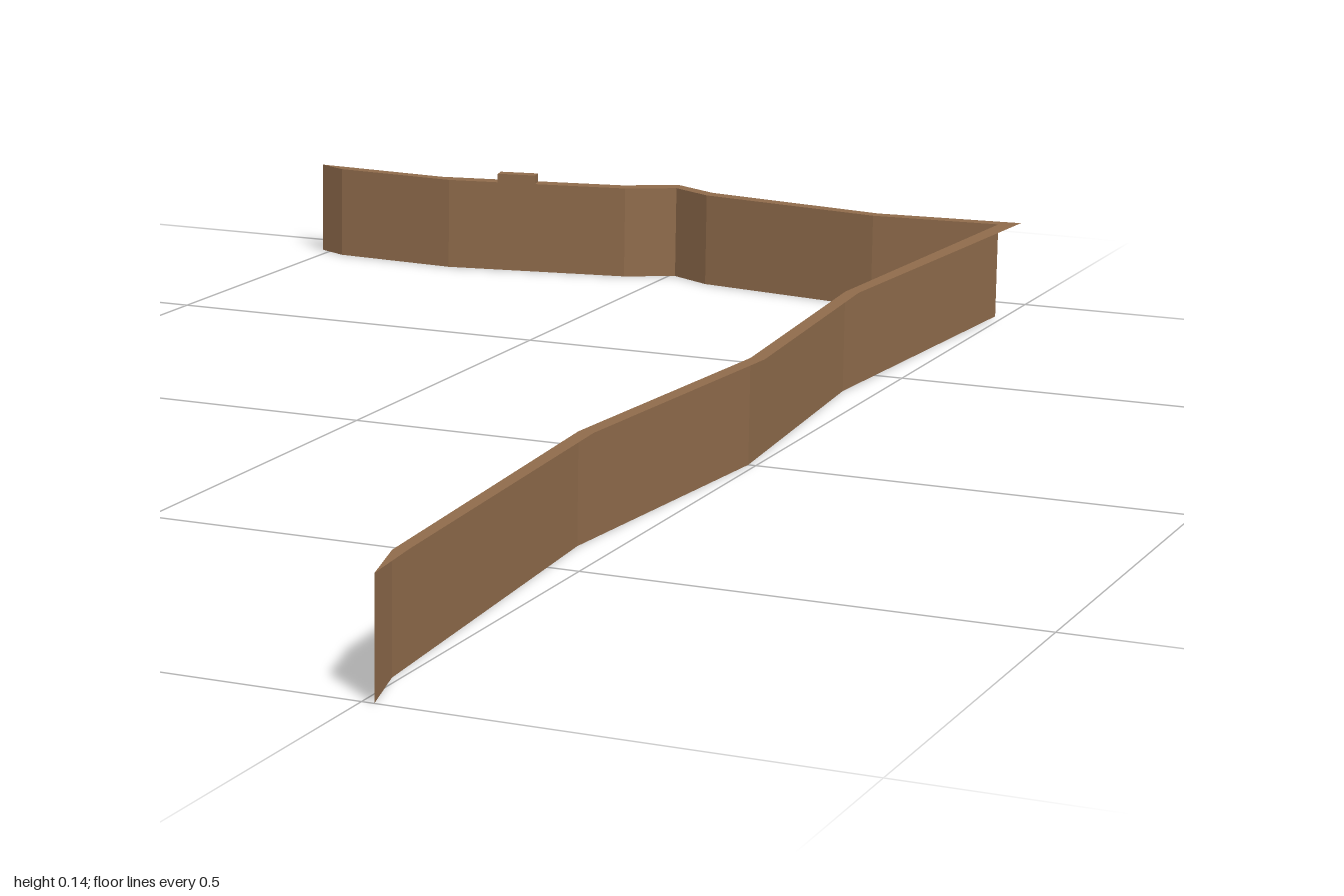
import * as THREE from 'three';

const HEIGHT = 0.123;

// Plan stations [inner x, inner z, outer x, outer z], from the left tip round the corner to the front tip
const backRun = [
  [-0.514, -0.93, -0.514, -0.93],
  [-0.473, -0.908, -0.44, -0.924],
  [-0.3, -0.895, -0.32, -0.914],
  [-0.054, -0.94, -0.066, -0.962],
  [0.008, -0.974, 0, -1],
  [0.066, -0.94, 0.066, -0.962],
  [0.32, -0.895, 0.32, -0.914],
  [0.488, -0.908, 0.512, -0.93],
];
const sideRun = [
  [0.488, -0.908, 0.512, -0.93],
  [0.459, -0.4, 0.476, -0.4],
  [0.491, 0, 0.508, 0],
  [0.459, 0.41, 0.476, 0.41],
  [0.492, 0.92, 0.505, 0.91],
  [0.513, 1, 0.513, 1],
];

// Flat-faceted ribbon between two matching rails
function ribbon(railA, railB) {
  const pos = [];
  for (let i = 0; i < railA.length - 1; i++) {
    const [a, b, c, d] = [railA[i], railA[i + 1], railB[i + 1], railB[i]];
    pos.push(...a, ...b, ...c, ...a, ...c, ...d);
  }
  const geo = new THREE.BufferGeometry();
  geo.setAttribute('position', new THREE.Float32BufferAttribute(pos, 3));
  geo.computeVertexNormals();
  return geo;
}

export function createModel() {
  const group = new THREE.Group();
  const brown = new THREE.MeshStandardMaterial({ color: 0x8f6b4b, side: THREE.DoubleSide });
  brown.name = 'brown';

  const add = (name, geometry) => {
    const mesh = new THREE.Mesh(geometry, brown);
    mesh.name = name;
    group.add(mesh);
    return mesh;
  };

  // Each run is an upright face with a cap overhanging outwards
  for (const [name, run] of [['backWall', backRun], ['sideWall', sideRun]]) {
    const bottom = run.map(([x, z]) => [x, 0, z]);
    const top = run.map(([x, z]) => [x, HEIGHT, z]);
    const outer = run.map(([, , x, z]) => [x, HEIGHT, z]);
    add(name + 'Face', ribbon(bottom, top));
    add(name + 'Cap', ribbon(top, outer));
  }

  // Small raised tab on the back wall
  const tab = add('topTab', new THREE.BoxGeometry(0.053, 0.014, 0.018));
  tab.position.set(-0.207, 0.128, -0.921);
  tab.rotation.y = 0.18;

  return group;
}
